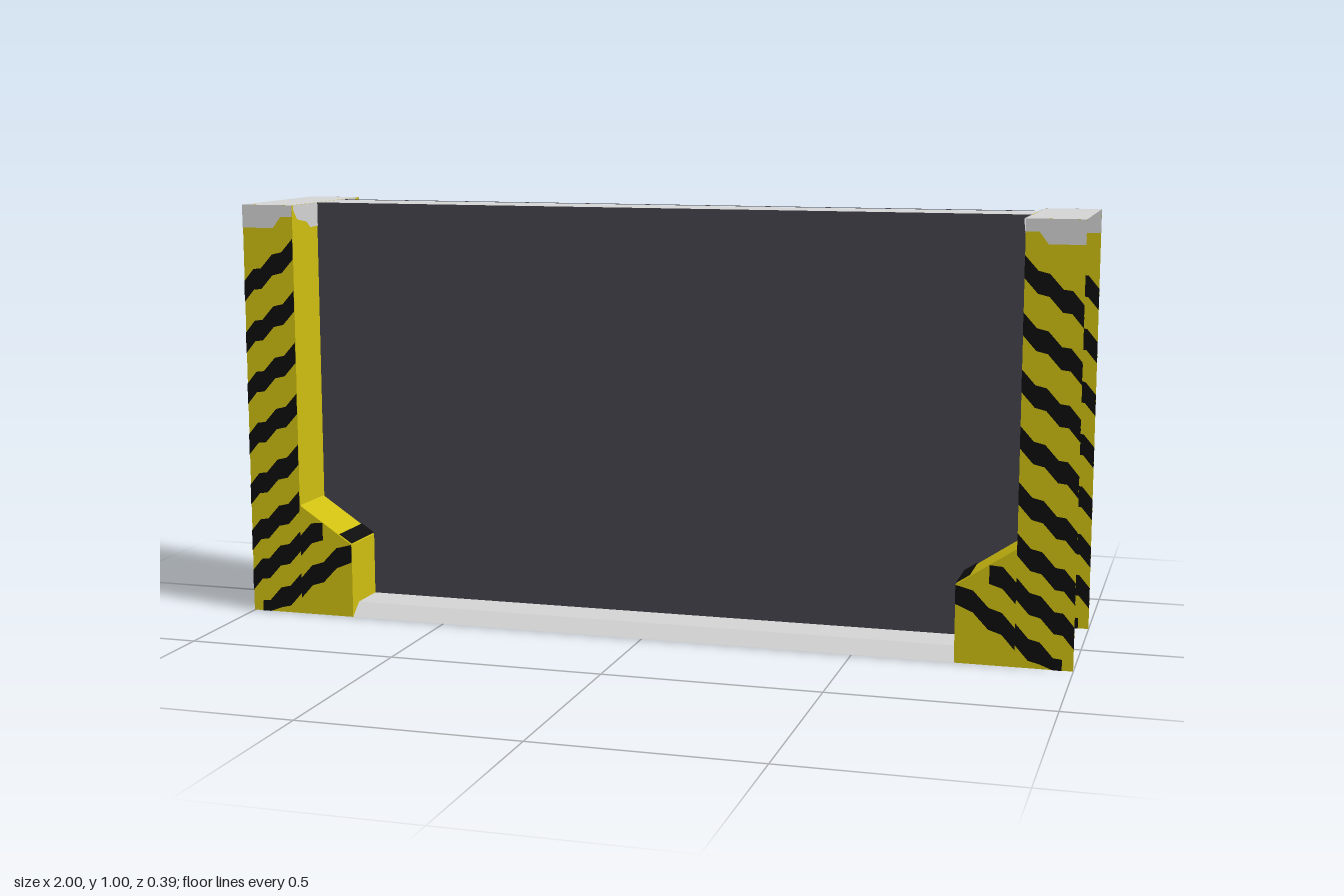
import * as THREE from 'three';

const mat = (name, color) => {
  const m = new THREE.MeshStandardMaterial({ color, side: THREE.DoubleSide, flatShading: true });
  m.name = name;
  return m;
};

export function createModel() {
  const yellow = mat('yellow paint', 0xcfbf10);
  const black = mat('black stripe', 0x0d0d0d);
  const dark = mat('dark panel', 0x43434c);
  const grey = mat('light grey metal', 0xd4d4d4);
  const red = mat('red lamp', 0xc42a33);
  const model = new THREE.Group();
  model.name = 'barrier';

  // Flat sheet from a 2D outline, placed in space by a mapping rule
  const sheet = (parent, name, material, outline, place) => {
    const shape = new THREE.Shape(outline.map(([u, v]) => new THREE.Vector2(u, v)));
    const geo = new THREE.ShapeGeometry(shape);
    const p = geo.attributes.position;
    for (let i = 0; i < p.count; i++) p.setXYZ(i, ...place(p.getX(i), p.getY(i)));
    geo.computeVertexNormals();
    const mesh = new THREE.Mesh(geo, material);
    mesh.name = name;
    parent.add(mesh);
    return mesh;
  };
  const rect = (u0, u1, v0, v1) => [[u0, v0], [u1, v0], [u1, v1], [u0, v1]];

  const IN = 0.87, FOOT = 0.735, KNEE = 0.27, TOE = 0.18, D = 0.192, CORE = 0.058;

  // Central slab
  const slab = new THREE.Mesh(
    new THREE.BoxGeometry(2 * IN - 0.004, 1, 2 * CORE),
    [yellow, yellow, grey, dark, dark, dark]
  );
  slab.name = 'centralSlab';
  slab.position.y = 0.5;
  model.add(slab);
  sheet(model, 'rearPanelTopEdge', dark, rect(-0.845, 0.86, -CORE, -0.035), (u, v) => [u, 1.002, v]);
  sheet(model, 'undersideTrim', grey, rect(-0.73, 0.73, 0.043, CORE), (u, v) => [u, -0.001, v]);

  // One diagonal stripe, clipped to the outline of the post and its foot
  const columns = [0, 0.025, 0.045, 0.075, 0.1, 0.13, 0.1301, 0.16, 0.19, 0.225, 0.265];
  const stripeOutline = (h) => {
    const low = [], high = [];
    columns.forEach((t, i) => {
      const top = t <= 0.13 ? 0.95 : KNEE - (t - 0.13) * (KNEE - TOE) / (IN - FOOT);
      const mid = h + (t - 0.13) * 0.72 + (i % 2 ? 0.006 : -0.006);
      const a = Math.min(Math.max(mid - 0.025, 0), top);
      const b = Math.min(Math.max(mid + 0.025, 0), top);
      if (b - a > 0.002) { low.push([1 - t, a]); high.unshift([1 - t, b]); }
    });
    return low.length > 1 ? low.concat(high) : null;
  };
  const stripeHeights = [0.89, 0.765, 0.64, 0.515, 0.39, 0.275, 0.175, 0.07];

  // Worn grey edge at the top of the web, as z and y
  const wornEdge = [[D, 1], [D, 0.99], [0.17, 0.965], [0.12, 0.957], [0.1, 0.942], [0.03, 0.945],
    [0, 0.967], [-0.02, 0.99], [-0.09, 0.99], [-0.11, 0.967], [-0.14, 0.967], [-0.165, 0.998], [-0.17, 1]];

  for (const s of [1, -1]) {
    const post = new THREE.Group();
    post.name = s > 0 ? 'leftPost' : 'rightPost';
    model.add(post);

    // Web of the open channel and its cap
    sheet(post, 'postWeb', yellow, rect(-D, D, KNEE, 1), (u, v) => [s * IN, v, u]);
    sheet(post, 'slabEnd', yellow, rect(-CORE, CORE, 0, KNEE), (u, v) => [s * IN, v, u]);
    sheet(post, 'slabEndMark', black,
      [[CORE, 0], [CORE, 0.08], [0.035, 0.1], [0.03, 0.13], [0.01, 0.15], [0.005, 0.175],
        [-0.022, 0.2], [-0.045, 0.18], [-CORE, 0.175], [-CORE, 0]],
      (u, v) => [s * (IN + 0.003), v, u]);
    for (const off of [0.003, -0.003])
      sheet(post, 'webWornEdge', grey, wornEdge, (u, v) => [s * (IN + off), v, u]);
    sheet(post, 'postCap', grey, rect(IN, 1, -D, D), (u, v) => [s * u, 1, v]);

    for (const f of [1, -1]) {
      // Flange with the widened foot
      sheet(post, 'postFlange', yellow,
        [[1, 0], [1, 1], [IN, 1], [IN, KNEE], [FOOT, TOE], [FOOT, 0]], (u, v) => [s * u, v, f * D]);
      for (const off of [0.002, -0.002]) {
        const place = (u, v) => [s * u, v, f * (D + off)];
        sheet(post, 'flangeWornEdge', grey,
          [[1, 1], [1, 0.945], [0.92, 0.945], [0.9, 0.972], [IN, 0.972], [IN, 1]], place);
        for (const h of stripeHeights) {
          const outline = stripeOutline(h);
          if (outline) sheet(post, 'hazardStripe', black, outline, place);
        }
      }
      // Sloping top and inner wall of the foot
      const slope = (lift) => (u, v) => [s * u, TOE + lift + (u - FOOT) * (KNEE - TOE) / (IN - FOOT), f * v];
      sheet(post, 'footSlope', yellow, rect(FOOT, IN, CORE, D), slope(0));
      sheet(post, 'footWall', yellow, rect(CORE, D, 0, TOE), (u, v) => [s * FOOT, v, f * u]);
      if (f > 0) sheet(post, 'footSlopeMark', black, rect(FOOT, FOOT + 0.032, CORE, D), slope(0.003));
      // Black base of the slab inside the foot
      sheet(post, 'slabBaseMark', black, rect(FOOT, IN, 0, 0.12), (u, v) => [s * u, v, f * (CORE + 0.002)]);
    }
  }

  // Bottom rails: bevelled lip and flat top
  for (const f of [1, -1]) {
    sheet(model, 'railBevel', grey, rect(-FOOT, FOOT, 0, 0.03), (u, v) => [u, v, f * (D - v * 1.2)]);
    sheet(model, 'railTop', grey, rect(-FOOT, FOOT, CORE, D - 0.036), (u, v) => [u, 0.03, f * v]);
    sheet(model, 'slabBase', black, rect(-FOOT, FOOT, 0, 0.029), (u, v) => [u, v, f * (CORE + 0.002)]);
  }

  // Red lamps on the rear panel
  const lamp = [[0.065, 0.04], [0.045, 0.065], [-0.03, 0.06], [-0.062, 0.025],
    [-0.065, -0.05], [-0.045, -0.068], [0.03, -0.065], [0.065, -0.05]];
  for (const x of [0.56, -0.475])
    sheet(model, 'rearLamp', red, lamp, (u, v) => [x + u, 0.215 + v, -CORE - 0.003]);

  return model;
}
